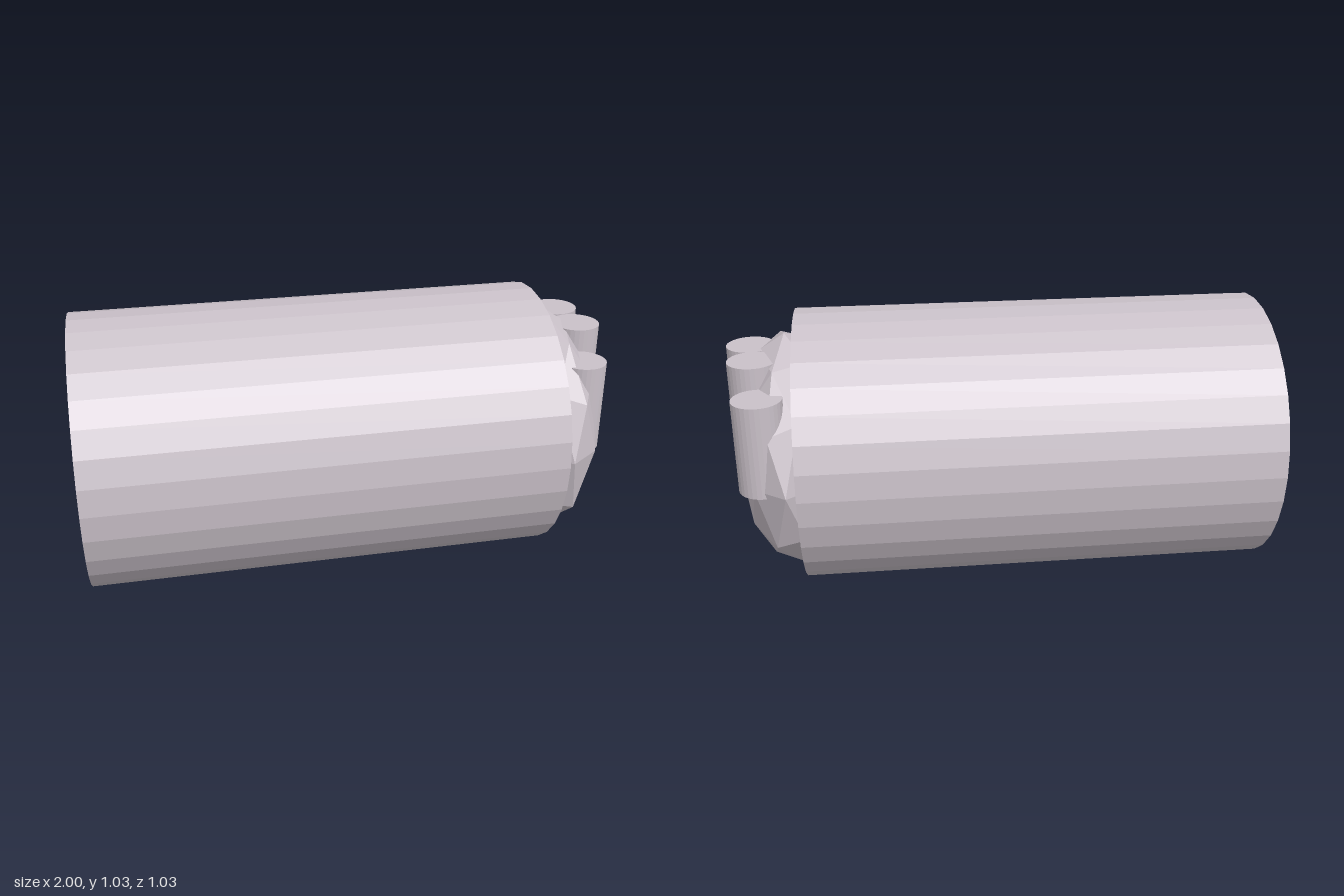
import * as THREE from 'three';

export function createModel() {
  const group = new THREE.Group();
  const clay = new THREE.MeshStandardMaterial({ color: 0xcac1c9, flatShading: true });
  clay.name = 'mauve grey';

  const add = (name, geometry, x, y, z) => {
    const mesh = new THREE.Mesh(geometry, clay);
    mesh.name = name;
    mesh.position.set(x, y, z);
    group.add(mesh);
    return mesh;
  };

  // Forearm: faceted cylinder lying along x
  const arm = new THREE.CylinderGeometry(0.513, 0.513, 1.74, 32);
  arm.rotateZ(-Math.PI / 2);
  add('forearm', arm, -0.13, 0.513, 0);

  // Palm: icosphere with a pole pointing up, flattened along the arm
  const palm = new THREE.IcosahedronGeometry(1, 1);
  palm.rotateZ(-Math.atan(2 / (1 + Math.sqrt(5))));
  palm.scale(0.2, 0.455, 0.455);
  palm.computeVertexNormals();
  add('palm', palm, 0.78, 0.497, 0.005);

  // Fingers: four upright cylinders set into the palm [x, centre y, z]
  const finger = new THREE.CylinderGeometry(0.09, 0.09, 0.345, 32);
  [
    [0.87, 0.64, 0.238],
    [0.91, 0.722, 0.056],
    [0.89, 0.724, -0.123],
    [0.865, 0.647, -0.305],
  ].forEach(([x, y, z], i) => add(`finger${i + 1}`, finger, x, y, z));

  return group;
}
